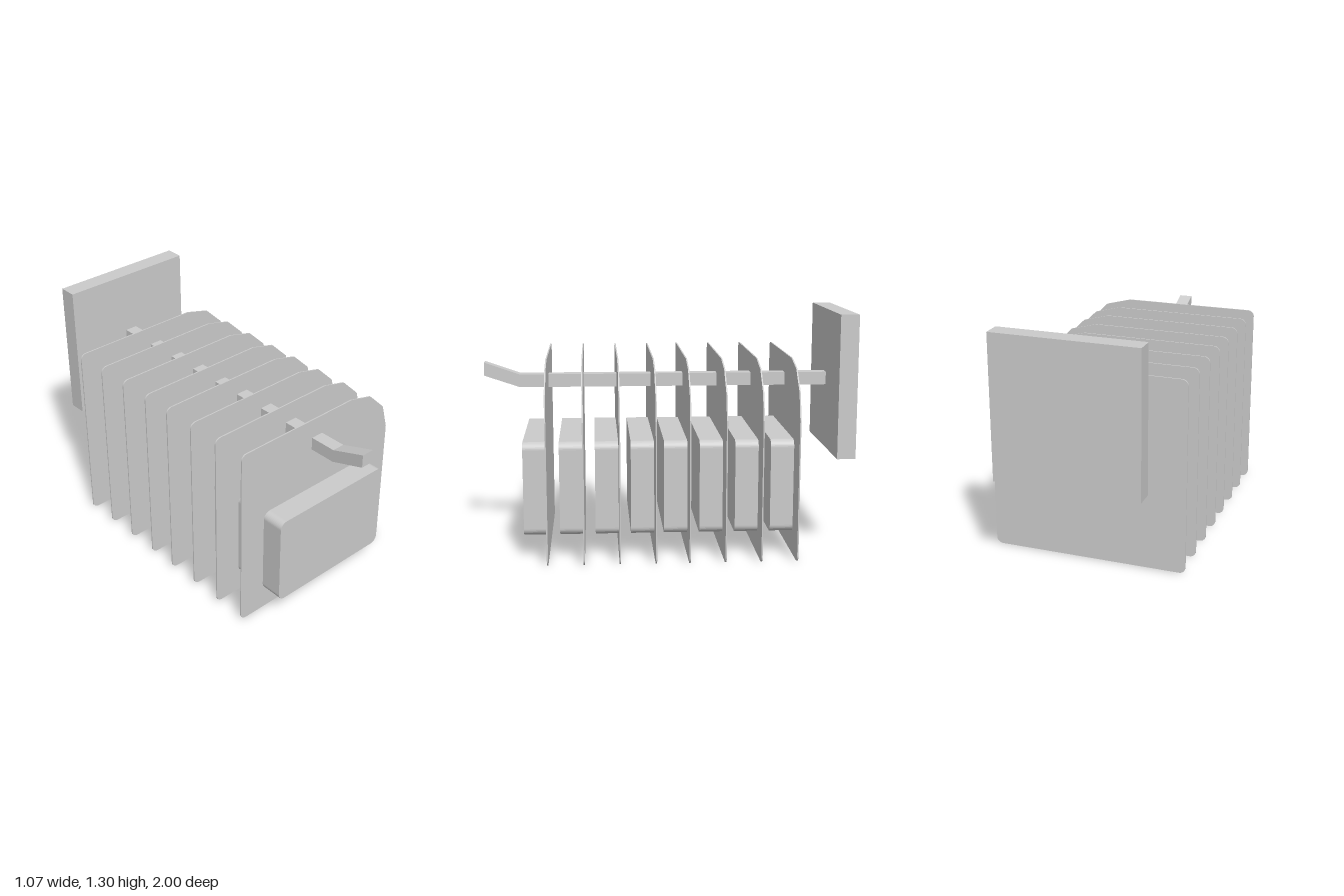
import * as THREE from 'three';

const material = new THREE.MeshStandardMaterial({ color: 0xcccccc });

// Extrudes a shape from z = 0 towards +z
function extrude(shape, depth) {
  return new THREE.ExtrudeGeometry(shape, { depth, bevelEnabled: false, curveSegments: 5 });
}

function addMesh(parent, name, geometry) {
  const mesh = new THREE.Mesh(geometry, material);
  mesh.name = name;
  parent.add(mesh);
  return mesh;
}

// Rectangle with rounded corners; topRight optionally replaces that corner with facets
function roundedOutline(x0, y0, x1, y1, r, topRight) {
  const s = new THREE.Shape();
  s.moveTo(x0 + r, y0);
  s.lineTo(x1 - r, y0);
  s.absarc(x1 - r, y0 + r, r, -Math.PI / 2, 0);
  if (topRight) topRight.forEach(([x, y]) => s.lineTo(x, y));
  else s.absarc(x1 - r, y1 - r, r, 0, Math.PI / 2);
  s.lineTo(x0 + r, y1);
  s.absarc(x0 + r, y1 - r, r, Math.PI / 2, Math.PI);
  s.lineTo(x0, y0 + r);
  s.absarc(x0 + r, y0 + r, r, Math.PI, Math.PI * 1.5);
  return s;
}

export function createModel() {
  const group = new THREE.Group();
  group.name = 'displayHook';

  // Wall plate at the back
  const plate = addMesh(group, 'wallPlate', new THREE.BoxGeometry(0.78, 0.776, 0.1));
  plate.position.set(-0.015, 0.913, -0.95);

  // Square arm with an upturned tip, drawn in side profile (z, y) and extruded across x
  const profile = new THREE.Shape([
    [-0.9, 0.878], [0.805, 0.878], [1, 0.944], [1, 1.017], [0.805, 0.949], [-0.9, 0.949],
  ].map(([z, y]) => new THREE.Vector2(z, y)));
  const arm = addMesh(group, 'hookArm', extrude(profile, 0.072));
  arm.rotation.y = -Math.PI / 2;
  arm.position.x = 0.023;

  // Hanging packs: thin backing card with a faceted corner and a blister box on its front
  const thickness = 0.007;
  const cardGeometry = extrude(roundedOutline(-0.534, 0.003, 0.532, 1.057, 0.034,
    [[0.532, 0.77], [0.493, 0.911], [0.384, 1.018], [0.236, 1.057]]), thickness);
  const blisterGeometry = extrude(roundedOutline(-0.379, 0.126, 0.376, 0.634, 0.04), 0.128);
  const packPositions = [0.652, 0.46, 0.27, 0.08, -0.098, -0.288, -0.479, -0.67];
  packPositions.forEach((z, i) => {
    const pack = new THREE.Group();
    pack.name = `hangingPack${i + 1}`;
    pack.position.z = z;
    addMesh(pack, 'backingCard', cardGeometry).position.z = -thickness / 2;
    addMesh(pack, 'blisterBox', blisterGeometry);
    group.add(pack);
  });

  return group;
}
